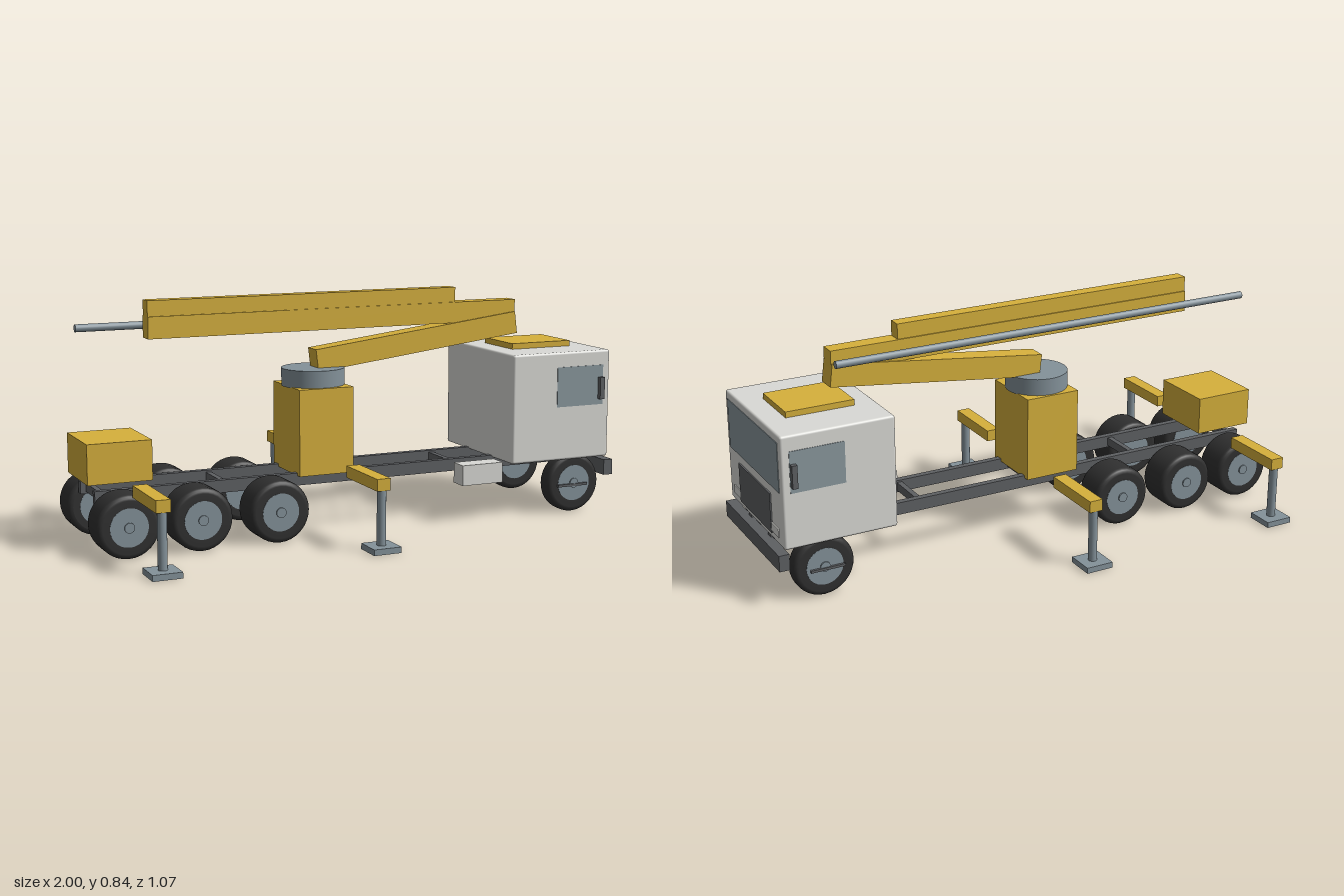
import * as THREE from 'three';
import { RoundedBoxGeometry } from 'three/addons/geometries/RoundedBoxGeometry.js';

const mat = (name, color) => {
  const m = new THREE.MeshStandardMaterial({ color });
  m.name = name;
  return m;
};

export function createModel() {
  const yellow = mat('boom yellow', 0xd6b03c);
  const white = mat('cab white', 0xdadad6);
  const dark = mat('chassis grey', 0x5e6063);
  const steel = mat('steel grey', 0x84929a);
  const glass = mat('glass', 0x8a989e);
  const rubber = mat('tyre black', 0x303030);

  const model = new THREE.Group();
  model.name = 'boomTruck';

  const add = (name, geo, material, x = 0, y = 0, z = 0, parent = model) => {
    const mesh = new THREE.Mesh(geo, material);
    mesh.name = name;
    mesh.position.set(x, y, z);
    parent.add(mesh);
    return mesh;
  };
  // Box given by its extents on each axis
  const box = (name, material, x0, x1, y0, y1, z0, z1, parent) =>
    add(name, new THREE.BoxGeometry(x1 - x0, y1 - y0, z1 - z0), material,
      (x0 + x1) / 2, (y0 + y1) / 2, (z0 + z1) / 2, parent);
  // The same box on both sides of the truck
  const pair = (name, material, x0, x1, y0, y1, z0, z1) => {
    box(name + 'Left', material, x0, x1, y0, y1, z0, z1);
    box(name + 'Right', material, x0, x1, y0, y1, -z1, -z0);
  };

  // Ladder frame
  pair('chassisRail', dark, -0.96, 0.97, 0.165, 0.21, 0.078, 0.102);
  for (const x of [-0.93, -0.49, -0.05, 0.405, 0.85])
    box('crossMember', dark, x - 0.01, x + 0.01, 0.172, 0.203, -0.08, 0.08);
  box('bumper', dark, 0.963, 1.0, 0.13, 0.188, -0.255, 0.255);

  // Wheels
  const addWheel = (x, side, width) => {
    const wheel = new THREE.Group();
    wheel.name = 'wheel';
    wheel.position.set(x, 0.11, side * (0.247 - width / 2));
    wheel.rotation.x = side * Math.PI / 2;
    model.add(wheel);
    const h = width / 2, r = 0.11, b = 0.018;
    const profile = [new THREE.Vector2(0.066, -h), new THREE.Vector2(r - b, -h)];
    for (const s of [-1, 1])
      for (let i = 0; i <= 4; i++) {
        const a = (s < 0 ? i - 4 : i) * Math.PI / 8;
        profile.push(new THREE.Vector2(r - b + b * Math.cos(a), s * (h - b) + b * Math.sin(a)));
      }
    profile.push(new THREE.Vector2(0.066, h));
    add('tyre', new THREE.LatheGeometry(profile, 32), rubber, 0, 0, 0, wheel);
    add('rim', new THREE.CylinderGeometry(0.067, 0.067, width + 0.002, 28), steel, 0, 0, 0, wheel);
    add('hubCap', new THREE.CylinderGeometry(0.018, 0.018, 0.006, 16), steel, 0, h + 0.003, 0, wheel);
  };
  for (const side of [1, -1]) {
    for (const x of [-0.885, -0.626, -0.343]) addWheel(x, side, 0.129);
    addWheel(0.836, side, 0.066);
  }
  pair('stepBar', dark, 0.765, 0.89, 0.099, 0.108, 0.247, 0.257);

  // Cab
  add('cab', new RoundedBoxGeometry(0.41, 0.403, 0.51, 3, 0.009), white, 0.772, 0.4035, 0);
  box('windscreen', glass, 0.973, 0.979, 0.4, 0.578, -0.231, 0.231);
  box('grille', dark, 0.973, 0.982, 0.225, 0.369, -0.147, 0.147);
  pair('headlight', white, 0.972, 0.981, 0.233, 0.264, 0.147, 0.21);
  pair('sideWindow', glass, 0.752, 0.948, 0.402, 0.55, 0.252, 0.257);
  pair('mirror', dark, 0.927, 0.946, 0.423, 0.505, 0.255, 0.274);
  box('roofHatch', yellow, 0.647, 0.895, 0.6, 0.626, -0.103, 0.103);
  box('sideTank', white, 0.375, 0.54, 0.135, 0.21, 0.162, 0.232);

  // Pedestal, slewing ring and rear housing
  box('pedestal', yellow, -0.22, -0.012, 0.2, 0.51, -0.123, 0.123);
  add('slewingRing', new THREE.CylinderGeometry(0.114, 0.114, 0.064, 40), steel, -0.116, 0.539, 0);
  box('rearHousing', yellow, -0.99, -0.762, 0.237, 0.377, -0.124, 0.124);

  // Folded boom: sloping lower arm, stacked upper sections and delivery pipe
  const arm = add('lowerArm', new THREE.BoxGeometry(0.82, 0.082, 0.073), yellow, 0.293, 0.647, 0);
  arm.rotation.z = Math.atan2(0.1, 0.81);
  box('middleBoom', yellow, -0.739, 0.697, 0.706, 0.783, -0.03, 0.03);
  box('upperBoom', yellow, -0.739, 0.446, 0.78, 0.838, -0.025, 0.025);
  const pipe = add('deliveryPipe', new THREE.CylinderGeometry(0.0135, 0.0135, 1.665, 16), steel, -0.136, 0.745, -0.066);
  pipe.rotation.z = Math.PI / 2;

  // Outriggers
  for (const x of [-0.848, -0.072])
    for (const side of [1, -1]) {
      const rig = new THREE.Group();
      rig.name = 'outrigger';
      rig.position.x = x;
      model.add(rig);
      const z = side * 0.481;
      add('outriggerBeam', new THREE.BoxGeometry(0.05, 0.042, 0.25), yellow, 0, 0.233, side * 0.375, rig);
      add('outriggerLeg', new THREE.CylinderGeometry(0.016, 0.016, 0.2, 16), steel, 0, 0.117, z, rig);
      add('outriggerFoot', new THREE.BoxGeometry(0.102, 0.021, 0.104), steel, 0, 0.0105, z, rig);
    }

  return model;
}
